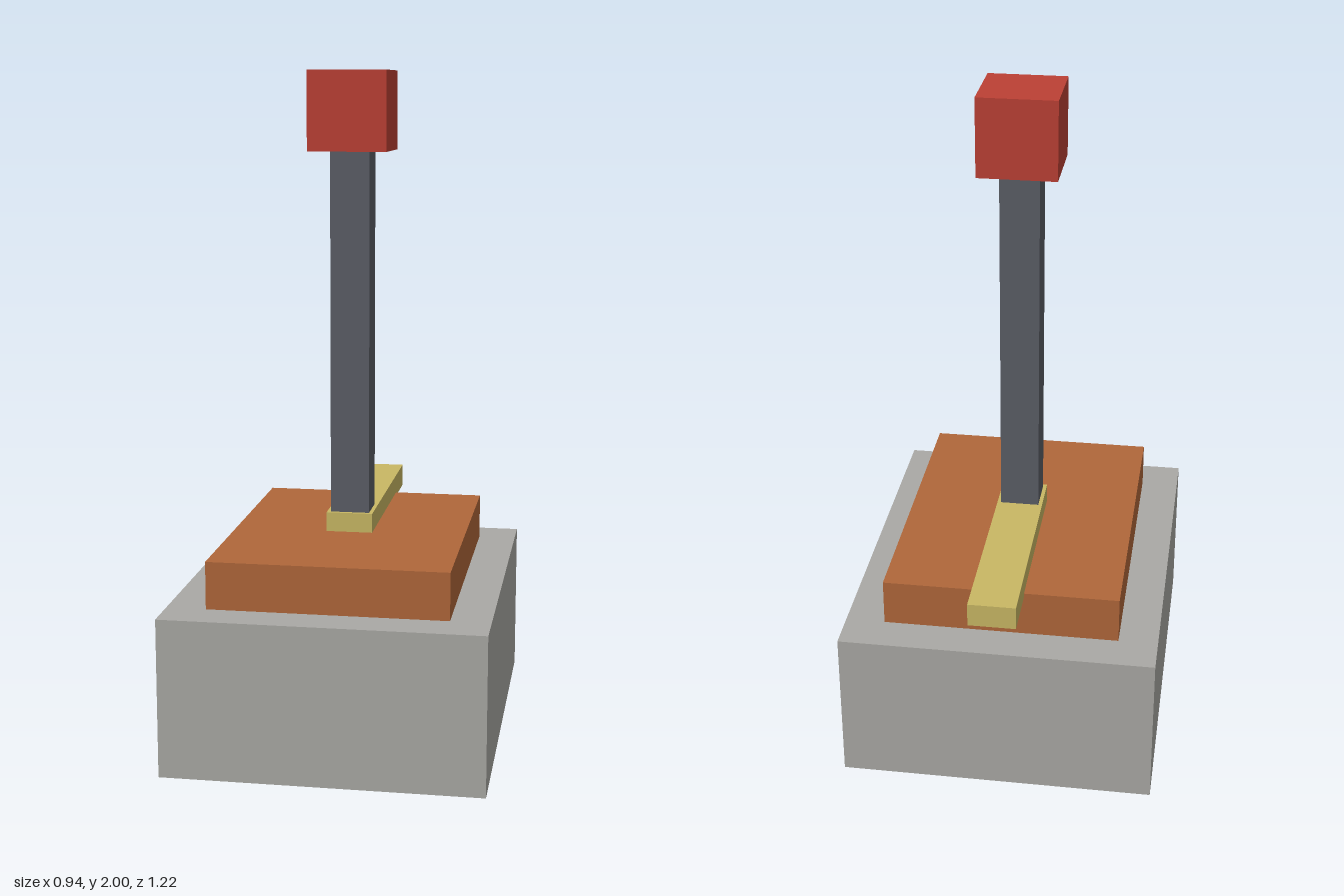
import * as THREE from 'three';

const material = (name, color) => {
  const m = new THREE.MeshStandardMaterial({ color });
  m.name = name;
  return m;
};

export function createModel() {
  const model = new THREE.Group();
  model.name = 'leverSwitch';

  const stone = material('stone grey', 0xaaa9a5);
  const copper = material('copper brown', 0xb0673a);
  const brass = material('brass yellow', 0xc9b864);
  const steel = material('dark steel', 0x5b5e66);
  const red = material('knob red', 0xbc4035);

  // Box centred on x, given by its width and its y and z extents
  const addBox = (name, mat, width, [y0, y1], [z0, z1]) => {
    const mesh = new THREE.Mesh(new THREE.BoxGeometry(width, y1 - y0, z1 - z0), mat);
    mesh.name = name;
    mesh.position.set(0, (y0 + y1) / 2, (z0 + z1) / 2);
    model.add(mesh);
  };

  // Stepped plinth
  addBox('base', stone, 0.941, [0, 0.471], [-0.565, 0.612]);
  addBox('mountingPlate', copper, 0.706, [0.471, 0.612], [-0.447, 0.494]);

  // Flat contact bar overhanging the back of the plate
  addBox('contactBar', brass, 0.141, [0.6, 0.671], [-0.612, 0.094]);

  // Upright handle and its grip
  addBox('leverPost', steel, 0.118, [0.671, 1.765], [-0.035, 0.082]);
  addBox('knob', red, 0.235, [1.765, 2], [-0.094, 0.141]);

  return model;
}
